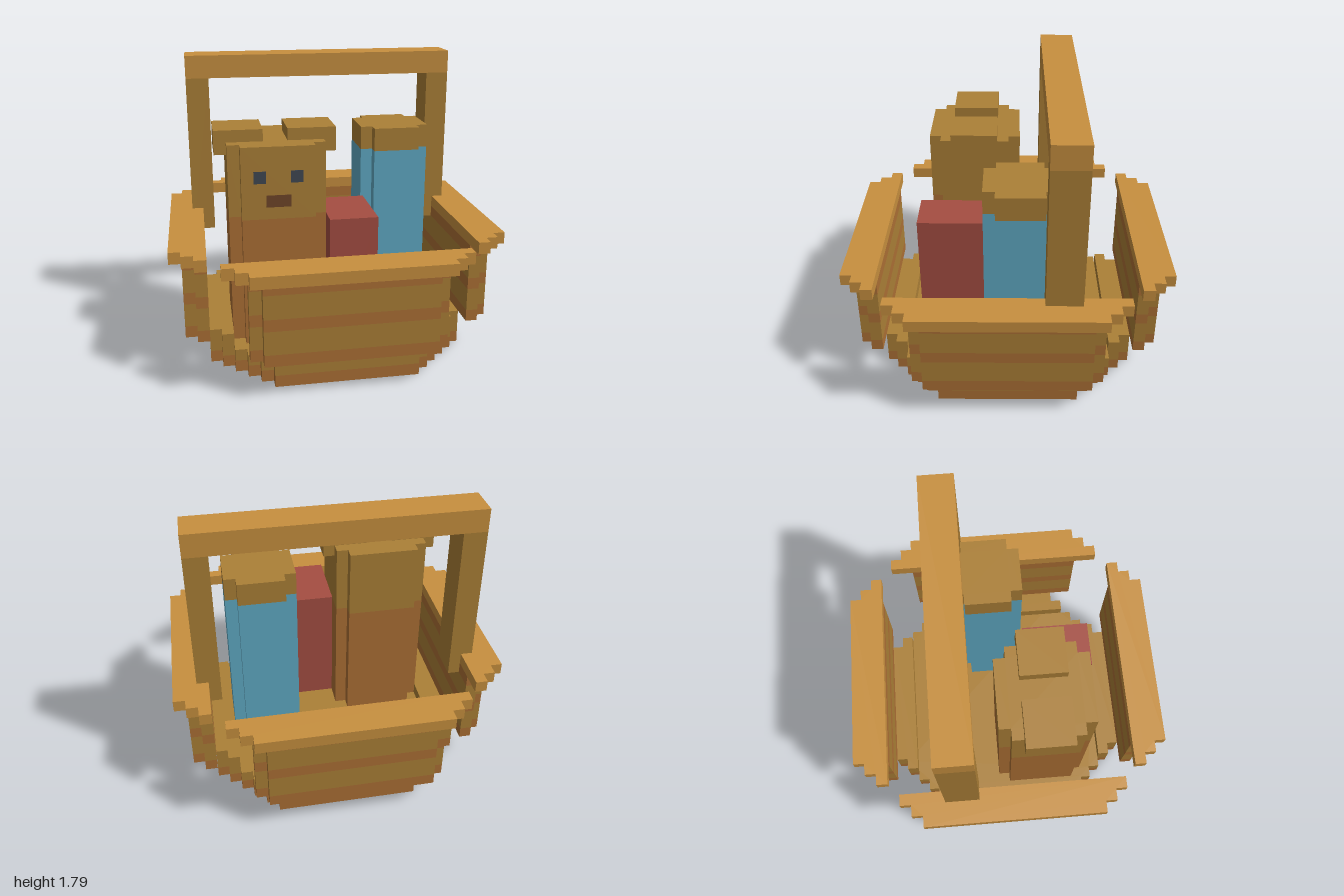
import * as THREE from 'three';

const U = 1 / 14; // one block

const mat = (color) => new THREE.MeshStandardMaterial({ color, flatShading: true });
const MATS = {
  wicker: mat(0xac8037), band: mat(0xad7035), trim: mat(0xc8903f), red: mat(0xa54e42),
  blue: mat(0x60abc5), eye: mat(0x404852), nose: mat(0x6f4528),
};

// Axis-aligned block given by its limits in block units
function block(parent, name, m, [x0, x1], [y0, y1], [z0, z1]) {
  const geo = new THREE.BoxGeometry((x1 - x0) * U, (y1 - y0) * U, (z1 - z0) * U);
  geo.translate(((x0 + x1) / 2) * U, ((y0 + y1) / 2) * U, ((z0 + z1) / 2) * U);
  const mesh = new THREE.Mesh(geo, MATS[m]);
  mesh.name = name;
  parent.add(mesh);
}

// Upright slab with a stepped plan; rows are [z0, z1, half width] about x = cx
function slab(parent, name, m, rows, [y0, y1], cx = 0) {
  const right = rows.flatMap(([z0, z1, w]) => [[w, z0], [w, z1]]);
  const left = right.map(([x, z]) => [-x, z]).reverse();
  const pts = [...right, ...left].map(([x, z]) => new THREE.Vector2((x + cx) * U, z * U));
  const geo = new THREE.ExtrudeGeometry(new THREE.Shape(pts), { depth: (y1 - y0) * U, bevelEnabled: false });
  geo.rotateX(Math.PI / 2).translate(0, y1 * U, 0);
  const mesh = new THREE.Mesh(geo, MATS[m]);
  mesh.name = name;
  parent.add(mesh);
}

function group(parent, name) {
  const g = new THREE.Group();
  g.name = name;
  parent.add(g);
  return g;
}

export function createModel() {
  const model = new THREE.Group();
  model.name = 'picnicBasket';

  // Stepped round floor
  const base = group(model, 'base');
  const steps = [6, 7, 8, 9, 10];
  const floor = [
    ...steps.map((w, i) => [i - 11, i - 10, w]),
    [-6, 6, 11],
    ...steps.map((w, i) => [10 - i, 11 - i, w]).reverse(),
  ];
  slab(base, 'floorBand', 'band', floor, [0, 1]);
  slab(base, 'floor', 'wicker', floor, [1, 2]);

  // Four sides: kerb, striped wall and overhanging rim
  for (let k = 0; k < 4; k++) {
    const side = group(model, 'side' + (k + 1));
    side.rotation.y = (k * Math.PI) / 2;
    slab(side, 'kerb', 'wicker', [[9, 10, 7], [10, 11, 6]], [2, 3]);
    const wall = [[11, 12, 8], [12, 13, 7]];
    for (const y of [3, 6, 9]) slab(side, 'wallBand', 'band', wall, [y, y + 1]);
    for (const y of [4, 7]) slab(side, 'wallPanel', 'wicker', wall, [y, y + 2]);
    slab(side, 'rim', 'trim', [[11, 12, 10], [12, 13, 9], [13, 14, 8]], [10, 11]);
  }

  // Handle
  const handle = group(model, 'handle');
  block(handle, 'leftPost', 'wicker', [10, 12], [9, 23], [-6, -3]);
  block(handle, 'rightPost', 'wicker', [-12, -10], [9, 23], [-6, -3]);
  block(handle, 'crossbar', 'trim', [-12, 12], [23, 25], [-6, -3]);

  // Toy bear
  const bear = group(model, 'toyBear');
  const plan = [[-1, 0, 3], [0, 6, 4], [6, 7, 3]];
  slab(bear, 'body', 'band', plan, [2, 13], -5);
  slab(bear, 'head', 'wicker', plan, [13, 19], -5);
  for (const x of [-10, -4]) block(bear, 'ear', 'wicker', [x, x + 4], [18, 20], [1, 5]);
  for (const x of [-7, -4]) block(bear, 'eye', 'eye', [x, x + 1], [16, 17], [6.5, 7.03]);
  block(bear, 'nose', 'nose', [-6, -4], [14, 15], [6.5, 7.03]);

  // Red box
  block(model, 'redBox', 'red', [-1, 3], [2, 13], [2, 8]);

  // Flask with cap
  const flask = group(model, 'flask');
  const round = [[-4, -3, 2], [-3, 1, 3], [1, 2, 2]];
  slab(flask, 'flaskBody', 'blue', round, [2, 17], 6);
  slab(flask, 'flaskCap', 'wicker', round, [17, 19], 6);

  return model;
}
